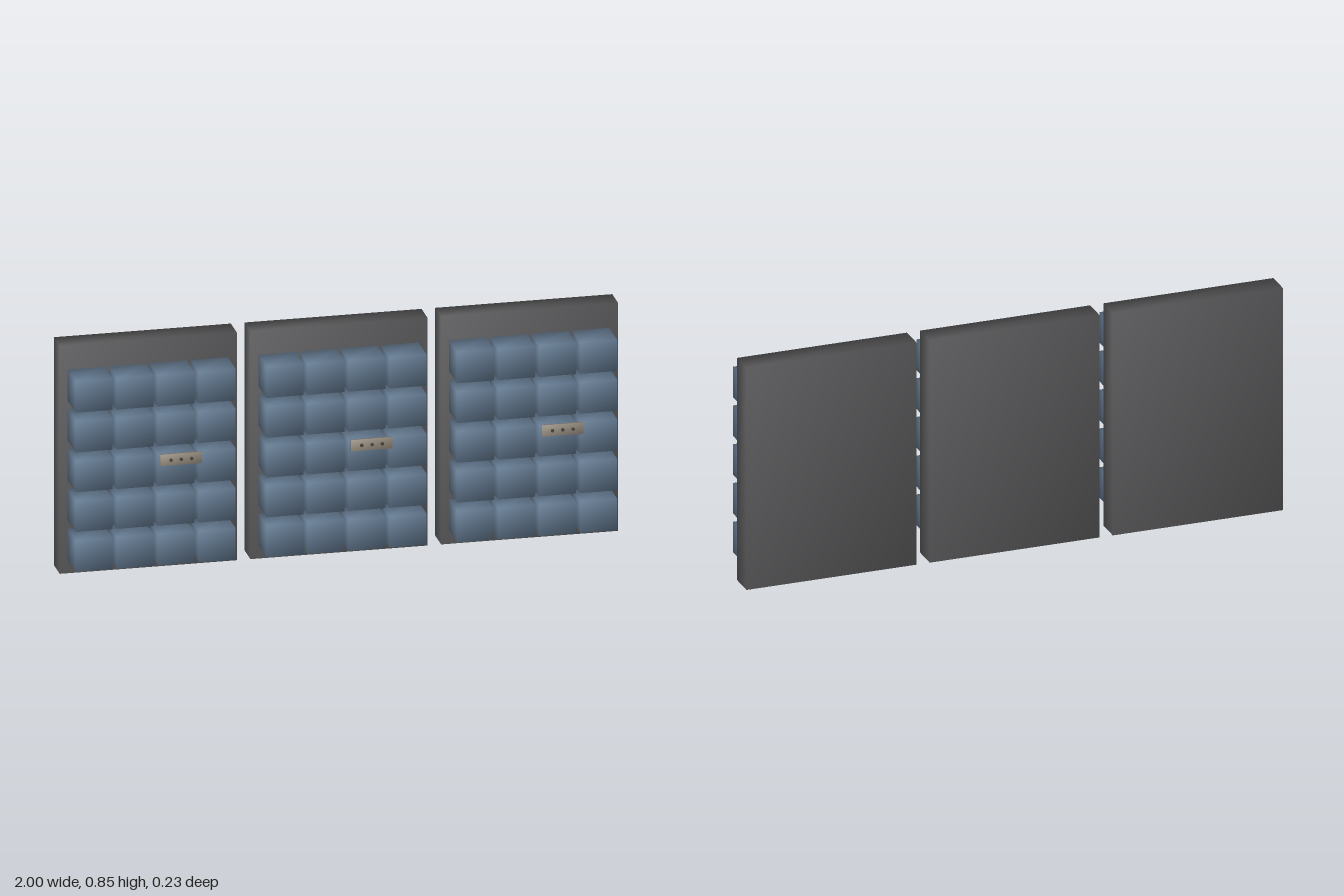
import * as THREE from 'three';
import { mergeVertices } from 'three/addons/utils/BufferGeometryUtils.js';

const panelMat = new THREE.MeshStandardMaterial({ color: 0x5a5a5c });
const blockMat = new THREE.MeshStandardMaterial({ color: 0x637990 });
const plateMat = new THREE.MeshStandardMaterial({ color: 0x9a9082 });
const rivetMat = new THREE.MeshStandardMaterial({ color: 0x4a4540 });

// Eight-cornered box whose normals are shared across its edges
function softBox(w, h, d) {
  const box = new THREE.BoxGeometry(w, h, d);
  box.deleteAttribute('normal');
  box.deleteAttribute('uv');
  const g = mergeVertices(box);
  g.computeVertexNormals();
  return g;
}

function add(parent, name, geometry, material, x, y, z) {
  const mesh = new THREE.Mesh(geometry, material);
  mesh.name = name;
  mesh.position.set(x, y, z);
  parent.add(mesh);
  return mesh;
}

export function createModel() {
  const root = new THREE.Group();
  root.name = 'blockPanels';

  const panelGeo = softBox(0.634, 0.845, 0.094);
  const blockGeo = softBox(0.132, 0.116, 0.126);
  const plateGeo = softBox(0.148, 0.041, 0.009);
  const rivetGeo = new THREE.CylinderGeometry(0.006, 0.006, 0.006, 12).rotateX(Math.PI / 2);

  for (let i = -1; i <= 1; i++) {
    const unit = new THREE.Group();
    unit.name = 'panelUnit';
    unit.position.x = i * 0.683;
    root.add(unit);

    // Backing panel
    add(unit, 'backPanel', panelGeo, panelMat, 0, 0.4225, -0.07);

    // Grid of raised blocks
    for (let row = 0; row < 5; row++) {
      for (let col = 0; col < 4; col++) {
        add(unit, 'block', blockGeo, blockMat, (col - 1.5) * 0.147 - 0.002, 0.1075 + row * 0.1475, 0.04);
      }
    }

    // Small riveted plate on the front of the blocks
    add(unit, 'plate', plateGeo, plateMat, 0.087, 0.441, 0.1085);
    for (let k = -1; k <= 1; k++) {
      add(unit, 'rivet', rivetGeo, rivetMat, 0.087 + k * 0.037, 0.441, 0.114);
    }
  }
  return root;
}
